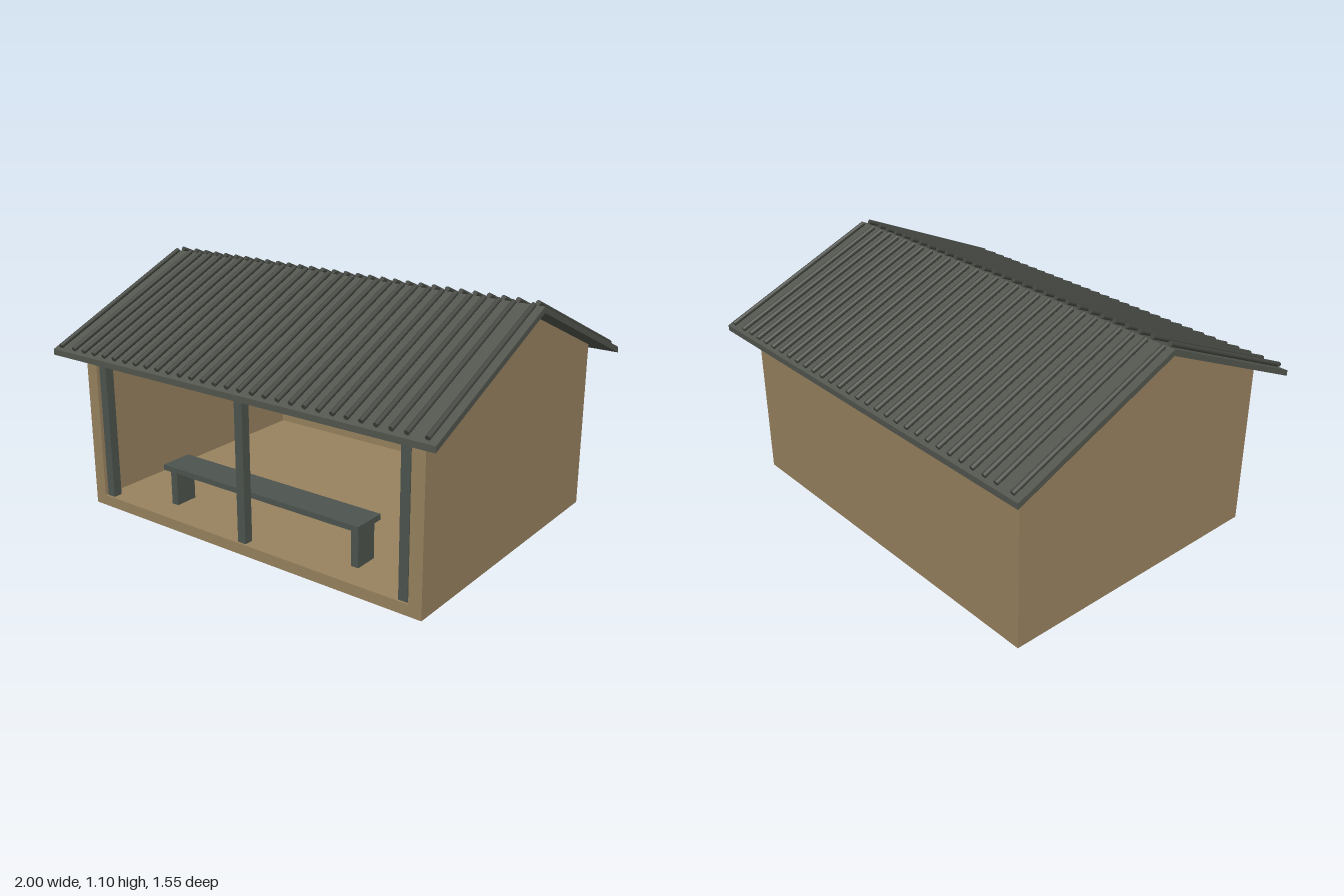
import * as THREE from 'three';

const wallMat = new THREE.MeshStandardMaterial({ name: 'tan wall', color: 0x98825f });
const roofMat = new THREE.MeshStandardMaterial({ name: 'grey green roof', color: 0x52564e });
const timberMat = new THREE.MeshStandardMaterial({ name: 'grey timber', color: 0x4d544e });
const ribMat = new THREE.MeshStandardMaterial({ name: 'dark grey rib', color: 0x454842 });

const W = 0.9, D = 0.675, T = 0.06;      // half width, half depth, wall thickness
const FLOOR = 0.05, APEX = 1.06, SLOPE = 0.432;
const under = z => APEX - SLOPE * Math.abs(z); // underside of the roof

export function createModel() {
  const model = new THREE.Group();
  model.name = 'shelter';

  const add = (name, geo, mat, x = 0, y = 0, z = 0) => {
    const mesh = new THREE.Mesh(geo, mat);
    mesh.name = name;
    mesh.position.set(x, y, z);
    model.add(mesh);
    return mesh;
  };
  const box = (name, mat, x0, x1, y0, y1, z0, z1) =>
    add(name, new THREE.BoxGeometry(x1 - x0, y1 - y0, z1 - z0), mat,
      (x0 + x1) / 2, (y0 + y1) / 2, (z0 + z1) / 2);

  // Outline given as [z, y] points, extruded along x from x0 to x1
  const slab = (name, mat, points, x0, x1) => {
    const shape = new THREE.Shape(points.map(([z, y]) => new THREE.Vector2(-z, y)));
    const geo = new THREE.ExtrudeGeometry(shape, { depth: x1 - x0, bevelEnabled: false });
    geo.rotateY(Math.PI / 2);
    return add(name, geo, mat, x0);
  };

  // Floor, back wall and gabled side walls; the front stays open
  const gable = [[D, 0], [-D, 0], [-D, under(D)], [0, APEX], [D, under(D)]];
  slab('rightWall', wallMat, gable, -W, -W + T);
  slab('leftWall', wallMat, gable, W - T, W);
  box('floor', wallMat, -W + T, W - T, 0, FLOOR, -D, D);
  box('backWall', wallMat, -W + T, W - T, FLOOR, under(D), -D, -D + T);

  // Folded roof sheet
  const eave = 0.775, thick = 0.026;
  slab('roof', roofMat, [
    [eave, under(eave)], [0, APEX], [-eave, under(eave)],
    [-eave, under(eave) + thick], [0, APEX + thick], [eave, under(eave) + thick],
  ], -1, 1);

  // Round ribs on both slopes, with a wider gap before the outermost pair
  const ribX = [-0.96, 0.96];
  for (let i = 0; i < 28; i++) ribX.push(-0.874 + (i * 1.748) / 27);
  const ribR = 0.011, z0 = 0.018, z1 = 0.765;
  const ribGeo = new THREE.CylinderGeometry(ribR, ribR, (z1 - z0) * Math.hypot(1, SLOPE), 10);
  const zMid = (z0 + z1) / 2;
  for (const side of [1, -1]) {
    for (const x of ribX) {
      const rib = add('roofRib', ribGeo, ribMat, x, under(zMid) + thick + 0.013, side * zMid);
      rib.rotation.x = side * (Math.PI / 2 + Math.atan(SLOPE));
    }
  }

  // Front posts
  for (const x of [-0.81, 0, 0.81]) {
    box('frontPost', timberMat, x - 0.021, x + 0.021, FLOOR, under(0.645), 0.624, 0.666);
  }

  // Rails along the back wall
  for (const y of [0.138, 0.25, 0.362]) {
    box('backRail', timberMat, -0.81, 0.81, y - 0.012, y + 0.012, -D + T, -D + T + 0.025);
  }

  // Bench
  box('benchSeat', timberMat, -0.54, 0.54, 0.22, 0.245, 0.425, 0.58);
  for (const x of [-0.505, 0.505]) {
    box('benchLeg', timberMat, x - 0.018, x + 0.018, FLOOR, 0.22, 0.445, 0.555);
  }

  return model;
}
